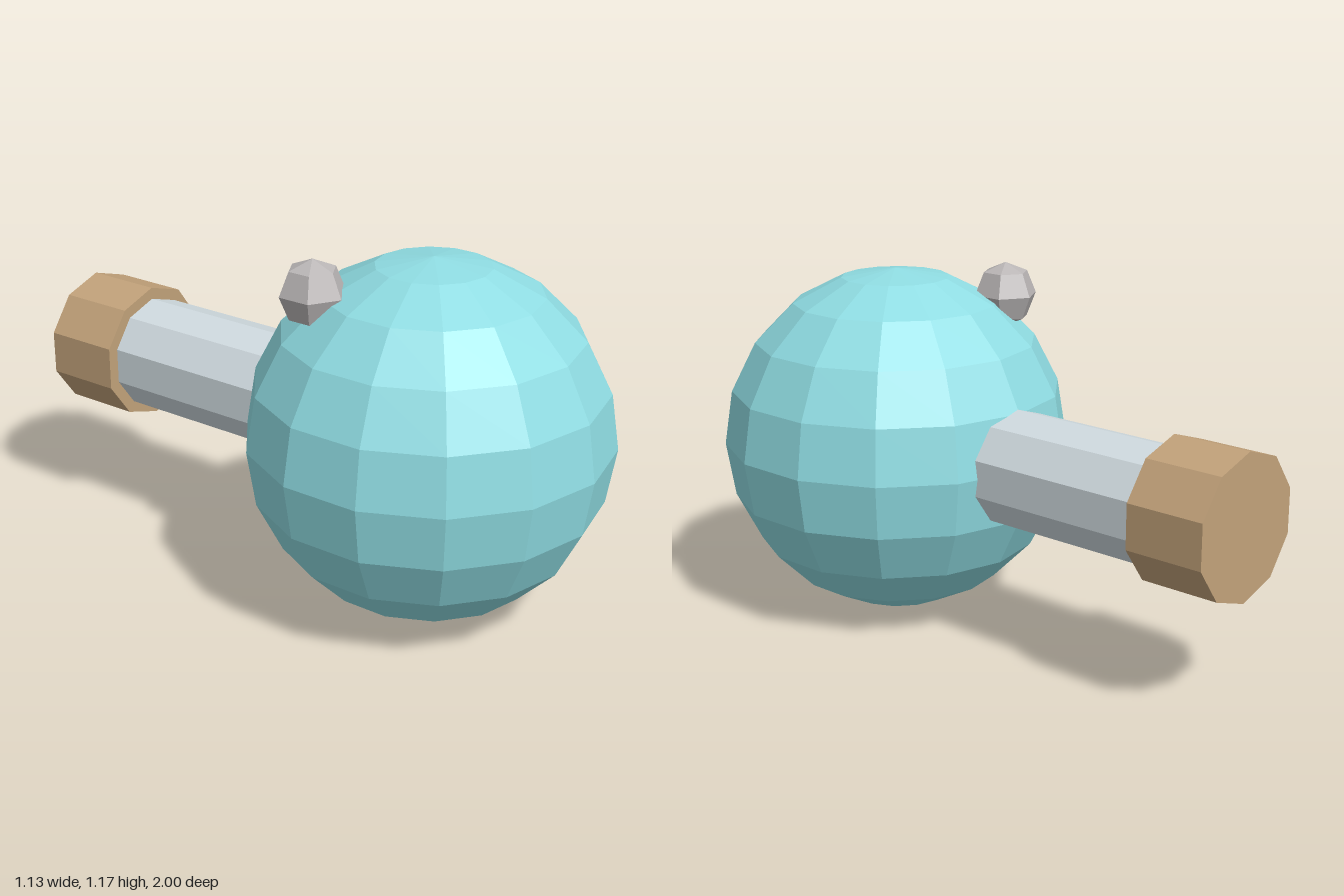
import * as THREE from 'three';

const CENTRE_Y = 0.583;

function addPart(group, name, geometry, color, x, y, z) {
  const material = new THREE.MeshStandardMaterial({ color, flatShading: true });
  const mesh = new THREE.Mesh(geometry, material);
  mesh.name = name;
  mesh.position.set(x, y, z);
  group.add(mesh);
  return mesh;
}

// Faceted ball with corners pointing along z
function ball(radius, sides, rows) {
  return new THREE.SphereGeometry(radius, sides, rows).rotateY(Math.PI / 2);
}

// Ten-sided bar lying along z, with a corner straight up
function bar(radius, length) {
  return new THREE.CylinderGeometry(radius, radius, length, 10).rotateX(Math.PI / 2);
}

export function createModel() {
  const group = new THREE.Group();
  group.name = 'model';

  // Round body
  addPart(group, 'body', ball(0.58, 14, 10), 0x8fdce2, 0, CENTRE_Y, 0.42);

  // Neck running back from inside the body
  const neckFront = 0.05, collarFront = -0.735, back = -1;
  addPart(group, 'neck', bar(0.191, neckFront - collarFront), 0xd0dbe0,
    0, CENTRE_Y + 0.002, (neckFront + collarFront) / 2);

  // Wider stopper on the end of the neck
  addPart(group, 'stopper', bar(0.231, collarFront - back), 0xc2a27a,
    0, CENTRE_Y + 0.002, (collarFront + back) / 2);

  // Small stud on the upper right of the body
  addPart(group, 'stud', ball(0.107, 6, 4), 0xbab6b6, -0.268, 1.069, 0.17);

  return group;
}
